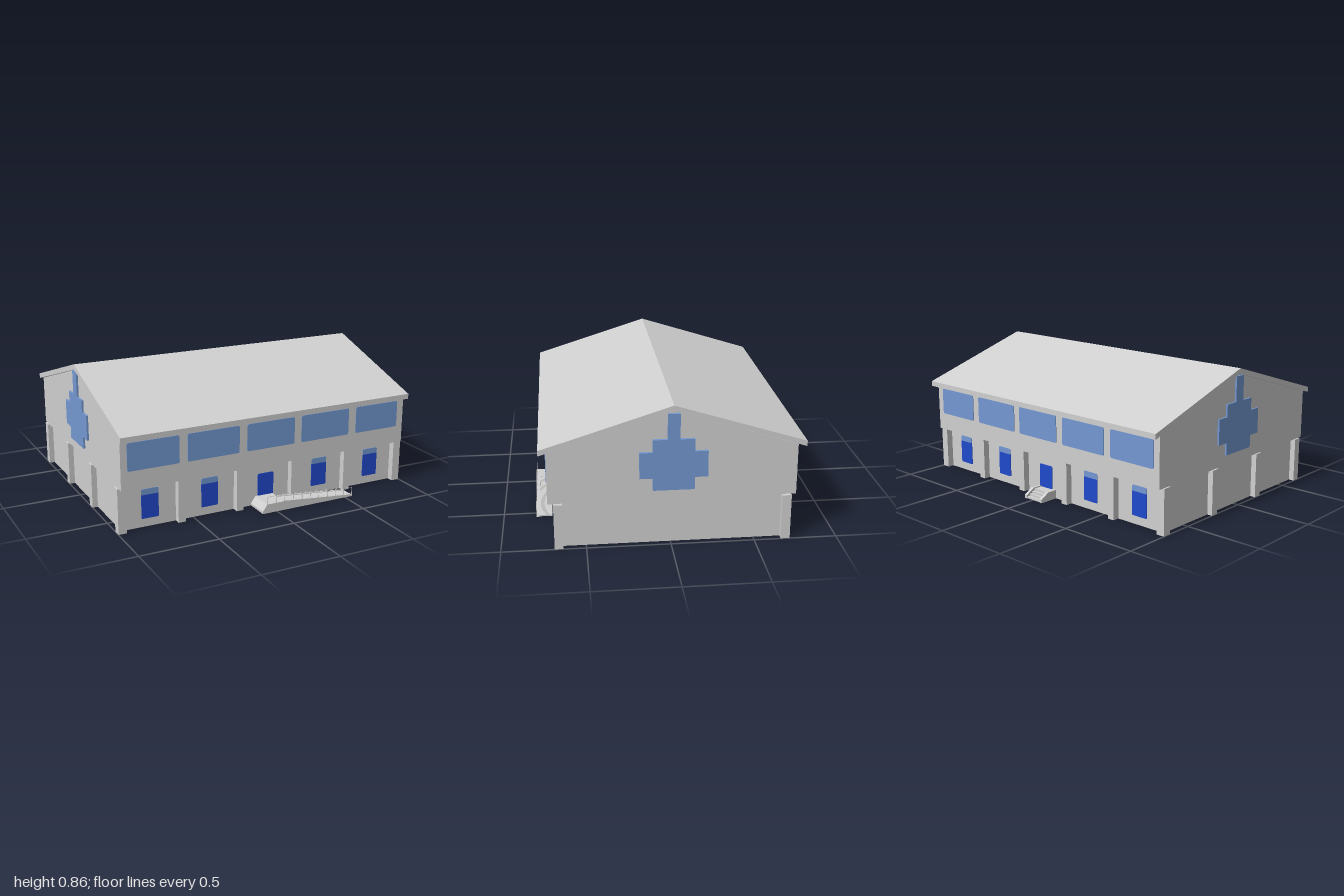
import * as THREE from 'three';

const mat = (name, color, side = THREE.FrontSide) => {
  const m = new THREE.MeshStandardMaterial({ color, side });
  m.name = name;
  return m;
};

export function createModel() {
  const model = new THREE.Group();
  model.name = 'hall';
  const wall = mat('light grey', 0xd0d0d0);
  const glass = mat('light blue', 0x7499d2);
  const door = mat('deep blue', 0x2049cc);

  const add = (name, geo, material) => {
    const mesh = new THREE.Mesh(geo, material);
    mesh.name = name;
    model.add(mesh);
    return mesh;
  };
  // Box given by its limits on each axis
  const box = (name, x0, x1, y0, y1, z0, z1, material = wall) => {
    const b = add(name, new THREE.BoxGeometry(x1 - x0, y1 - y0, z1 - z0), material);
    b.position.set((x0 + x1) / 2, (y0 + y1) / 2, (z0 + z1) / 2);
    return b;
  };
  // Side profile of [z, y] points, extruded along x
  const profile = (name, pts, x0, x1, material = wall) => {
    const shape = new THREE.Shape(pts.map(([z, y]) => new THREE.Vector2(-z, y)));
    const geo = new THREE.ExtrudeGeometry(shape, { depth: x1 - x0, bevelEnabled: false });
    geo.rotateY(Math.PI / 2);
    geo.translate(x0, 0, 0);
    return add(name, geo, material);
  };
  // Thin plate with rounded corners on the front (dir 1) or back (dir -1) wall
  const plate = (name, x0, x1, y0, y1, z, dir, material, rTop = 0.012, rBottom = 0.012) => {
    const s = new THREE.Shape();
    s.moveTo(x0 + rBottom, y0);
    s.lineTo(x1 - rBottom, y0);
    s.quadraticCurveTo(x1, y0, x1, y0 + rBottom);
    s.lineTo(x1, y1 - rTop);
    s.quadraticCurveTo(x1, y1, x1 - rTop, y1);
    s.lineTo(x0 + rTop, y1);
    s.quadraticCurveTo(x0, y1, x0, y1 - rTop);
    s.lineTo(x0, y0 + rBottom);
    s.quadraticCurveTo(x0, y0, x0 + rBottom, y0);
    const geo = new THREE.ExtrudeGeometry(s, { depth: 0.004, bevelEnabled: false, curveSegments: 4 });
    geo.translate(0, 0, dir > 0 ? z : z - 0.004);
    add(name, geo, material);
  };

  // Walls: recessed ground floor under a wider gabled upper floor
  const lowFront = 0.645, lowBack = -0.675, upFront = 0.72, upBack = -0.747, ridge = -0.016;
  box('groundFloor', -0.965, 0.96, 0, 0.285, lowBack, lowFront);
  profile('upperFloor', [
    [upFront, 0.282], [upFront, 0.598], [ridge, 0.828], [upBack, 0.598], [upBack, 0.282],
  ], -0.988, 0.977);

  // Roof
  profile('roof', [
    [0.764, 0.585], [0.764, 0.618], [ridge, 0.863], [-0.798, 0.618], [-0.798, 0.585], [ridge, 0.829],
  ], -1, 0.982);

  // Pillars along front and back, and two more on the right-hand end
  for (const x of [-0.973, -0.592, -0.2, 0.186, 0.578, 0.972]) {
    const w = Math.abs(x) > 0.9 ? 0.0265 : 0.023;
    box('frontPillar', x - w, x + w, 0, 0.283, 0.635, 0.687);
    box('backPillar', x - w, x + w, 0, 0.283, -0.717, -0.662);
  }
  for (const z of [-0.24, 0.21]) box('sidePillar', -1, -0.95, 0, 0.283, z - 0.026, z + 0.026);

  // Upper windows and ground floor doors with lighter tops
  const windows = [[-0.947, -0.62], [-0.567, -0.225], [-0.172, 0.158], [0.208, 0.555], [0.61, 0.928]];
  for (const dir of [1, -1]) {
    const zUp = dir > 0 ? upFront : upBack, zLow = dir > 0 ? lowFront : lowBack;
    for (const [x0, x1] of windows) plate('upperWindow', x0, x1, 0.395, 0.567, zUp, dir, glass);
    for (const x of [-0.782, -0.39, 0, 0.39, 0.785]) {
      plate('lowerPanel', x - 0.055, x + 0.055, 0.053, 0.203, zLow, dir, door, x ? 0.001 : 0.008, 0.008);
      if (x) plate('lowerPanelTop', x - 0.055, x + 0.055, 0.203, 0.24, zLow, dir, glass, 0.01, 0.001);
    }
  }

  // Stepped cross-shaped windows on both gables
  const half = [[0.036, 0.818], [0.036, 0.662], [0.122, 0.662], [0.122, 0.585], [0.2, 0.585],
    [0.2, 0.425], [0.122, 0.425], [0.122, 0.348]];
  const cross = [...half, ...half.map(([z, y]) => [-z, y]).reverse()].map(([z, y]) => [z - 0.015, y]);
  profile('gableWindow', cross, 0.975, 0.996, glass);
  profile('gableWindow', cross, -1, -0.985, glass);

  // Front landing with a sloped left end
  const landing = new THREE.Shape([[-0.1, 0], [0.05, 0], [0.05, 0.058], [-0.07, 0.058], [-0.1, 0.015]]
    .map(([x, y]) => new THREE.Vector2(x, y)));
  add('landing', new THREE.ExtrudeGeometry(landing, { depth: 0.155, bevelEnabled: false }), wall)
    .position.z = 0.643;

  // Ribbed ramp: many shallow treads between two curbs
  const treads = 40, x0 = 0.05, x1 = 0.55;
  for (let i = 0; i < treads; i++) {
    const step = (x1 - x0) / treads;
    box('rampTread', x0 + i * step, x0 + (i + 1) * step, 0, 0.055 - 0.047 * i / treads, 0.71, 0.778);
  }
  const curb = new THREE.Shape([[0.05, 0], [0.6, 0], [0.55, 0.012], [0.05, 0.06]]
    .map(([x, y]) => new THREE.Vector2(Math.min(x, 0.555), y)));
  for (const z of [0.698, 0.776]) {
    add('rampCurb', new THREE.ExtrudeGeometry(curb, { depth: z > 0.7 ? 0.022 : 0.012, bevelEnabled: false }), wall)
      .position.z = z;
  }

  // Slim handrail with posts
  const floorY = (x) => (x < 0.05 ? 0.058 : 0.058 - 0.046 * (x - 0.05) / 0.5);
  for (let i = 0; i <= 10; i++) {
    const x = -0.07 + i * 0.062;
    box('railPost', x - 0.0015, x + 0.0015, floorY(x) - 0.004, floorY(x) + 0.047, 0.795, 0.798);
  }
  const rail = new THREE.CurvePath();
  const railPts = [-0.07, 0.05, 0.55].map((x) => new THREE.Vector3(x, floorY(x) + 0.047, 0.7965));
  rail.add(new THREE.LineCurve3(railPts[0], railPts[1]));
  rail.add(new THREE.LineCurve3(railPts[1], railPts[2]));
  add('handrail', new THREE.TubeGeometry(rail, 24, 0.0015, 5, false), wall);

  // Back stairs between sloped side curbs
  const side = [[-0.67, 0], [-0.67, 0.056], [-0.742, 0.056], [-0.8, 0.022], [-0.8, 0]];
  profile('stairCurb', side, -0.085, -0.065);
  profile('stairCurb', side, 0.048, 0.068);
  for (let i = 0; i < 4; i++) {
    box('stairStep', -0.066, 0.049, 0, 0.05 - i * 0.0125, i ? -0.735 - i * 0.02 : -0.735, -0.67 - (i ? 0.045 + i * 0.02 : 0));
  }
  return model;
}
